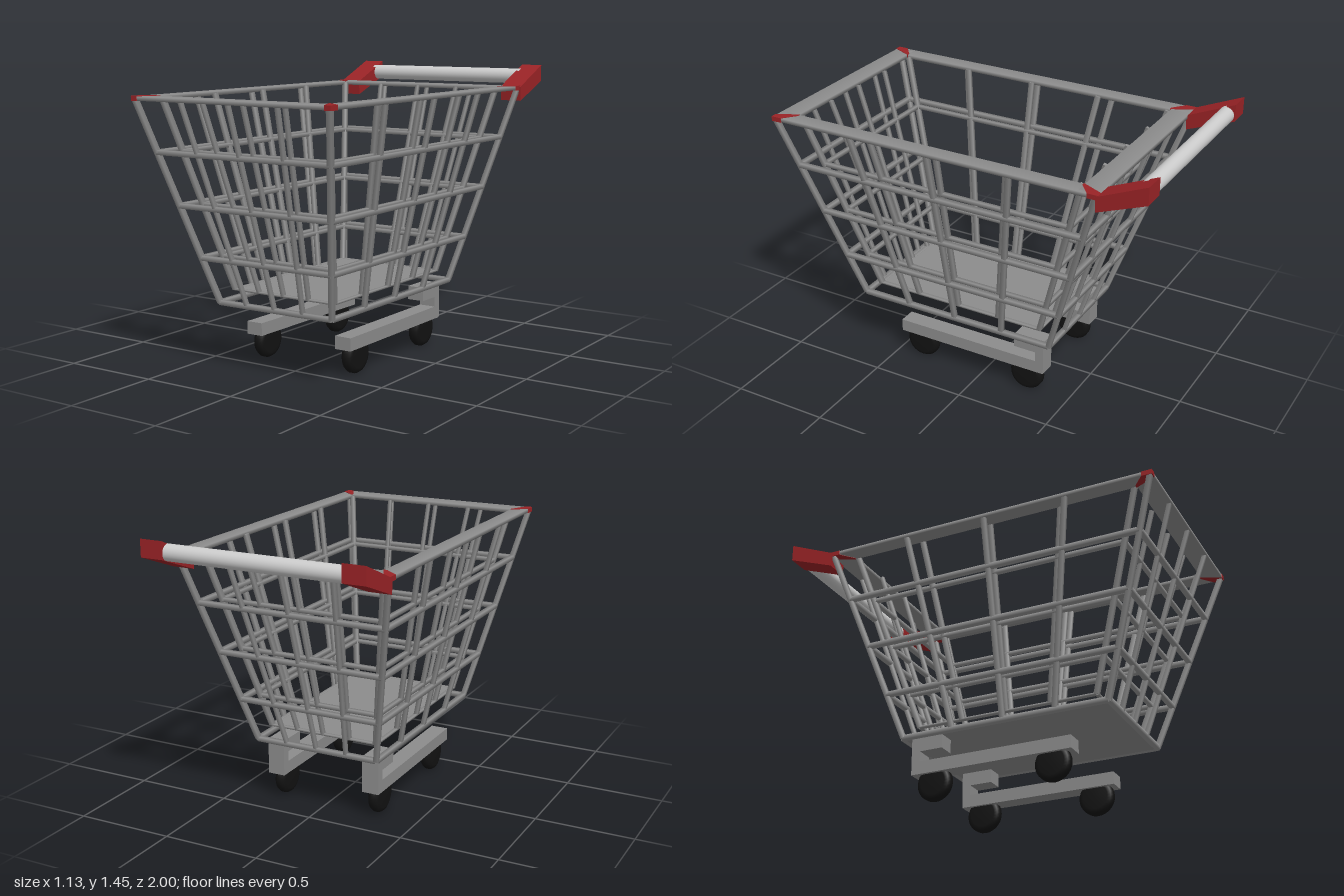
import * as THREE from 'three';

const material = (color) => new THREE.MeshStandardMaterial({ color });

export function createModel() {
  const cart = new THREE.Group();
  const wire = material(0x8c8c8c);
  const light = material(0xcccccc);
  const red = material(0x9a2326);
  const black = material(0x121212);

  const group = (name) => {
    const g = new THREE.Group();
    g.name = name;
    cart.add(g);
    return g;
  };
  const add = (parent, name, geometry, mat) => {
    const mesh = new THREE.Mesh(geometry, mat);
    mesh.name = name;
    parent.add(mesh);
    return mesh;
  };

  // Four-sided rod with smooth normals, one unit in each direction
  const rodGeometry = new THREE.CylinderGeometry(Math.SQRT1_2, Math.SQRT1_2, 1, 4, 1, false, Math.PI / 4);
  // Rod from a to b: depth is measured along the wall normal, width across it
  function rod(parent, name, a, b, normal, width, depth) {
    const dir = b.clone().sub(a);
    const length = dir.length();
    dir.normalize();
    const side = new THREE.Vector3().crossVectors(dir, normal).normalize();
    const out = new THREE.Vector3().crossVectors(side, dir);
    const mesh = add(parent, name, rodGeometry, wire);
    mesh.quaternion.setFromRotationMatrix(new THREE.Matrix4().makeBasis(side, dir, out));
    mesh.position.copy(a).add(b).multiplyScalar(0.5);
    mesh.scale.set(width, length, depth);
  }

  // Basket: an outer and an inner cage, both tapering towards the floor
  const midZ = 0.12;
  const levels = [1.08, 0.82, 0.56];
  const cages = [
    { name: 'outerCage', y0: 0.333, y1: 1.335, x0: 0.33, x1: 0.55, z0: 0.54, z1: 0.87, w: 0.024 },
    { name: 'innerCage', y0: 0.39, y1: 1.335, x0: 0.292, x1: 0.475, z0: 0.468, z1: 0.765, w: 0.02 },
  ];
  for (const c of cages) {
    const g = group(c.name);
    // Point on the cage: u and v run from -1 to 1 across x and z
    const at = (u, v, y) => {
      const t = (y - c.y0) / (c.y1 - c.y0);
      return new THREE.Vector3(u * THREE.MathUtils.lerp(c.x0, c.x1, t), y,
        midZ + v * THREE.MathUtils.lerp(c.z0, c.z1, t));
    };
    for (const s of [-1, 1]) {
      const nx = new THREE.Vector3(s, 0, 0);
      const nz = new THREE.Vector3(0, 0, s);
      for (const y of [...levels, c.y0]) {
        const w = y === c.y0 && c.name === 'innerCage' ? 0.01 : c.w;
        rod(g, 'sideRail', at(s, -1, y), at(s, 1, y), nx, w, c.w);
        rod(g, 'endRail', at(-1, s, y), at(1, s, y), nz, w, c.w);
      }
      for (const k of [-0.5, 0, 0.5]) {
        rod(g, 'sideBar', at(s, k, c.y0), at(s, k, c.y1), nx, 0.026, 0.02);
        rod(g, 'endBar', at(k, s, c.y0), at(k, s, c.y1), nz, 0.018, 0.02);
      }
      for (const k of [-1, 1]) {
        rod(g, 'cornerBar', at(s, k, c.y0), at(s, k, c.y1), nx, 0.024, 0.024);
      }
    }
  }

  // Floor skins: one seen from inside, one from below
  const floor = group('floor');
  const upper = add(floor, 'floorTop', new THREE.PlaneGeometry(0.59, 0.94), wire);
  upper.rotation.x = -Math.PI / 2;
  upper.position.set(0, 0.392, midZ);
  const lower = add(floor, 'floorUnderside', new THREE.PlaneGeometry(0.68, 1.1), wire);
  lower.rotation.x = Math.PI / 2;
  lower.position.set(0, 0.322, midZ);

  // Flat top rim with mitred red corners
  const rim = group('rim');
  const up = new THREE.Vector3(0, 1, 0);
  const v = (x, y, z) => new THREE.Vector3(x, y, z);
  const cornerPoints = [[0.563, 0.883], [0.563, 0.83], [0.495, 0.775], [0.478, 0.775], [0.53, 0.883]];
  for (const s of [-1, 1]) {
    rod(rim, 'sideRim', v(s * 0.52, 1.335, midZ - 0.86), v(s * 0.52, 1.335, midZ + 0.86), up, 0.08, 0.02);
    rod(rim, 'endRim', v(-0.54, 1.335, midZ + s * 0.83), v(0.54, 1.335, midZ + s * 0.83), up, 0.1, 0.02);
    for (const k of [-1, 1]) {
      const shape = new THREE.Shape(cornerPoints.map(([x, z]) => new THREE.Vector2(x * s, -(midZ + z * k))));
      const corner = add(rim, 'rimCorner', new THREE.ExtrudeGeometry(shape, { depth: 0.024, bevelEnabled: false }), red);
      corner.rotation.x = -Math.PI / 2;
      corner.position.y = 1.323;
    }
  }

  // Extrude a (z, y) outline along x, centred on x
  function sidePlate(parent, name, points, width, x, mat) {
    const shape = new THREE.Shape(points.map(([z, y]) => new THREE.Vector2(-z, y)));
    const geometry = new THREE.ExtrudeGeometry(shape, { depth: width, bevelEnabled: false });
    geometry.translate(0, 0, -width / 2);
    geometry.rotateY(Math.PI / 2);
    add(parent, name, geometry, mat).position.x = x;
  }

  // Push handle
  const handle = group('handle');
  const bar = add(handle, 'handleBar', new THREE.CylinderGeometry(0.04, 0.04, 0.94, 24), light);
  bar.rotation.z = Math.PI / 2;
  bar.position.set(0, 1.387, -0.955);
  for (const s of [-1, 1]) {
    sidePlate(handle, 'handleBracket',
      [[-0.75, 1.34], [-0.755, 1.267], [-1, 1.36], [-1, 1.447]], 0.115, s * 0.51, red);
  }

  // Undercarriage: a C-shaped runner with two wheels on each side
  const runner = [[0.465, 0.135], [-0.375, 0.135], [-0.375, 0.322], [-0.21, 0.322],
    [-0.21, 0.252], [-0.33, 0.252], [-0.33, 0.2], [0.465, 0.2]];
  const tyre = [[0, -0.03], [0.065, -0.03], [0.082, -0.024], [0.091, -0.01],
    [0.091, 0.01], [0.082, 0.024], [0.065, 0.03], [0, 0.03]];
  const wheelGeometry = new THREE.LatheGeometry(tyre.map(([r, y]) => new THREE.Vector2(r, y)), 28);
  const base = group('undercarriage');
  for (const x of [-0.275, 0.257]) {
    sidePlate(base, 'runner', runner, 0.09, x, wire);
    for (const z of [0.357, -0.265]) {
      const wheel = add(base, 'wheel', wheelGeometry, black);
      wheel.rotation.z = Math.PI / 2;
      wheel.position.set(x, 0.091, z);
    }
  }
  return cart;
}
